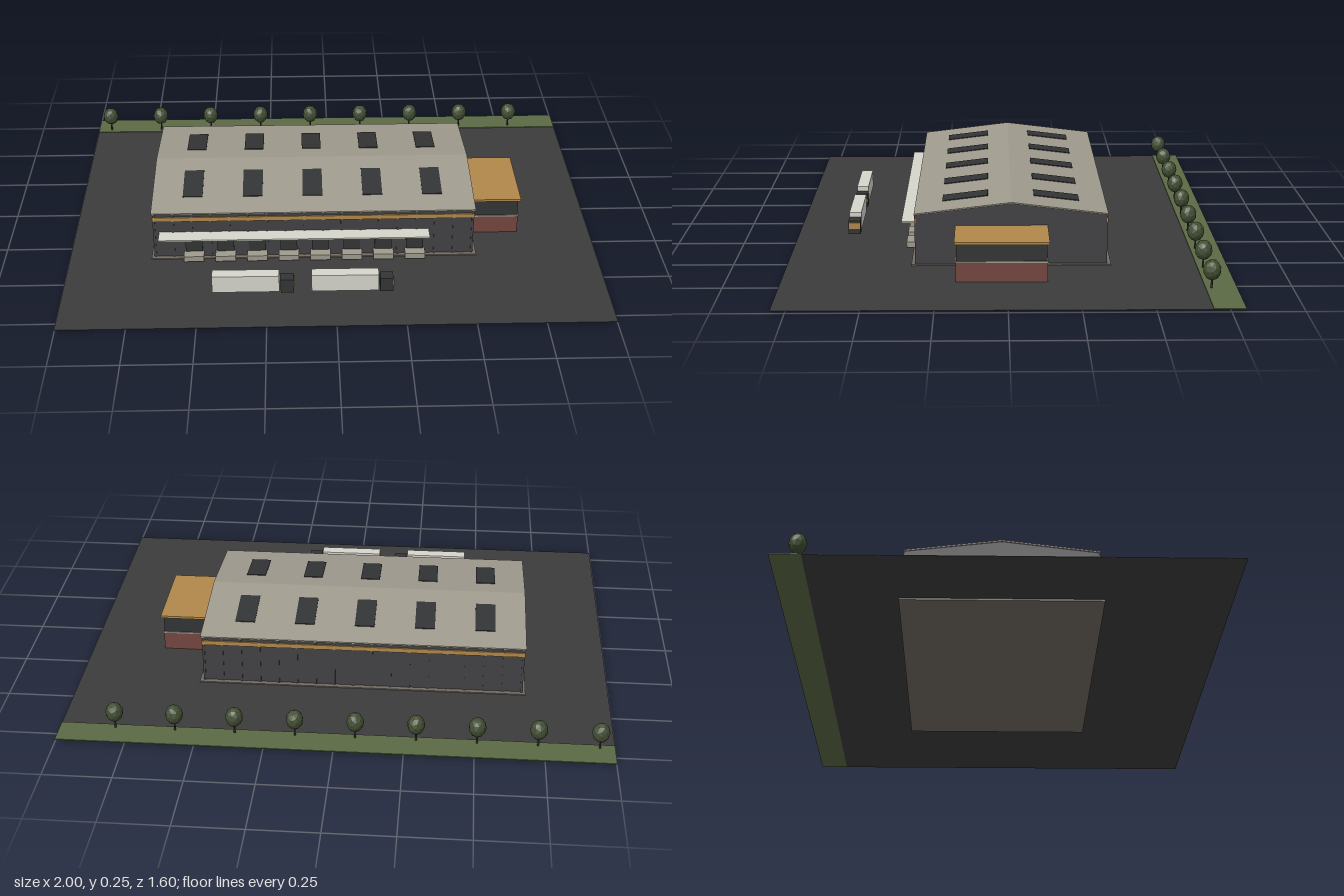
import * as THREE from 'three';

const mat = (name, color) => {
  const m = new THREE.MeshStandardMaterial({ color });
  m.name = name;
  return m;
};

export function createModel() {
  const M = {
    asphalt: mat('asphalt', 0x3c3c3c),
    grass: mat('grass', 0x5c6a44),
    slab: mat('concrete', 0x736c64),
    wall: mat('wall cladding', 0x424244),
    roof: mat('roof sheet', 0xa09b8e),
    accent: mat('ochre accent', 0xb0884a),
    brick: mat('brick', 0x74463f),
    white: mat('off white', 0xd6d6cc),
    dark: mat('dark glass', 0x333435),
    leaf: mat('foliage', 0x424e33),
  };
  const model = new THREE.Group();
  model.name = 'warehouse';

  const add = (parent, name, geometry, material) => {
    const mesh = new THREE.Mesh(geometry, material);
    mesh.name = name;
    parent.add(mesh);
    return mesh;
  };
  // Box given by its limits on each axis
  const box = (parent, name, material, [x0, x1], [y0, y1], [z0, z1]) => {
    const mesh = add(parent, name, new THREE.BoxGeometry(x1 - x0, y1 - y0, z1 - z0), material);
    mesh.position.set((x0 + x1) / 2, (y0 + y1) / 2, (z0 + z1) / 2);
    return mesh;
  };
  const group = (name) => {
    const g = new THREE.Group();
    g.name = name;
    model.add(g);
    return g;
  };
  // Cross-section of [z, y] points drawn out along x
  const alongX = (parent, name, material, points, x0, x1) => {
    const shape = new THREE.Shape(points.map(([z, y]) => new THREE.Vector2(-z, y)));
    const geo = new THREE.ExtrudeGeometry(shape, { depth: x1 - x0, bevelEnabled: false });
    geo.rotateY(Math.PI / 2).translate(x0, 0, 0);
    return add(parent, name, geo, material);
  };

  // Site
  const site = group('site');
  box(site, 'asphaltYard', M.asphalt, [-1, 1], [0.007, 0.009], [-0.69, 0.8]);
  box(site, 'grassStrip', M.grass, [-1, 1], [0.008, 0.012], [-0.8, -0.69]);
  box(site, 'floorSlab', M.slab, [-0.69, 0.543], [0, 0.013], [-0.38, 0.347]);

  // Main hall: walls with gable ends and a shallow pitched roof
  const hall = group('hall');
  const zMid = -0.016, ridge = 0.246, eave = 0.203;
  const front = 0.33, back = -0.362;
  box(hall, 'walls', M.wall, [-0.68, 0.53], [0.013, 0.196], [back, front]);
  const gable = [[front, 0.19], [front, eave - 0.004], [zMid, ridge - 0.004], [back, eave - 0.004], [back, 0.19]];
  for (const x of [-0.68, 0.524]) alongX(hall, 'gable', M.wall, gable, x, x + 0.006);
  const roofEdge = [
    [front + 0.006, eave - 0.005], [front + 0.006, eave], [zMid, ridge],
    [back - 0.006, eave], [back - 0.006, eave - 0.005], [zMid, ridge - 0.005],
  ];
  alongX(hall, 'roof', M.roof, roofEdge, -0.685, 0.535);

  // Ochre bands and wall ribs on both long sides
  for (const [z, s] of [[front, 1], [back, -1]]) {
    const out = (d) => [Math.min(z, z + s * d), Math.max(z, z + s * d)];
    box(hall, 'eaveBand', M.accent, [-0.681, 0.531], [0.168, 0.185], out(0.006));
    for (let i = 0; i < 18; i++) {
      const x = -0.675 + i * 0.0706;
      box(hall, 'wallRib', M.wall, [x - 0.004, x + 0.004], [0.013, 0.199], out(0.004));
    }
  }

  // Skylights lying on both slopes
  const pitch = Math.atan2(ridge - eave, front + 0.006 - zMid);
  for (const s of [1, -1]) {
    for (let i = 0; i < 5; i++) {
      const light = add(hall, 'skylight', new THREE.BoxGeometry(0.075, 0.004, 0.168), M.dark);
      const d = 0.168;
      light.position.set(-0.532 + i * 0.2275, ridge - d * Math.tan(pitch) + 0.001, zMid + s * d);
      light.rotation.x = s * pitch;
    }
  }

  // Loading docks under a long canopy
  const docks = group('loadingDocks');
  box(docks, 'canopy', M.white, [-0.657, 0.36], [0.114, 0.12], [front, 0.392]);
  for (let i = 0; i < 8; i++) {
    const x = -0.528 + i * 0.1194;
    box(docks, 'dockDoor', M.dark, [x - 0.032, x + 0.032], [0.035, 0.1], [front, front + 0.005]);
    box(docks, 'dockPlatform', M.roof, [x - 0.038, x + 0.038], [0.014, 0.036], [front, 0.374]);
  }

  // Office wing
  const office = group('office');
  box(office, 'brickBase', M.brick, [0.53, 0.72], [0.009, 0.08], [-0.143, 0.182]);
  box(office, 'sill', M.roof, [0.53, 0.722], [0.08, 0.085], [-0.145, 0.184]);
  box(office, 'windowBand', M.dark, [0.53, 0.718], [0.085, 0.149], [-0.141, 0.18]);
  box(office, 'officeRoof', M.accent, [0.53, 0.728], [0.149, 0.158], [-0.149, 0.187]);

  // Two parked lorries facing +x
  for (const x of [-0.45, -0.087]) {
    const truck = group('truck');
    const z = [0.558, 0.604];
    box(truck, 'trailer', M.white, [x, x + 0.245], [0.027, 0.094], z);
    box(truck, 'cab', M.dark, [x + 0.25, x + 0.298], [0.023, 0.077], z);
    box(truck, 'cabPanel', M.accent, [x + 0.298, x + 0.301], [0.045, 0.07], [0.56, 0.602]);
  }

  // Row of trees along the back
  const trees = group('trees');
  for (let i = 0; i < 9; i++) {
    const x = -0.945 + i * 0.2178;
    const trunk = add(trees, 'trunk', new THREE.CylinderGeometry(0.003, 0.004, 0.045, 6), M.dark);
    trunk.position.set(x, 0.033, -0.71);
    const crownMat = M.leaf;
    crownMat.flatShading = true;
    const crown = add(trees, 'crown', new THREE.IcosahedronGeometry(0.032, 1), crownMat);
    crown.scale.y = 1.18;
    crown.rotation.y = i * 0.7;
    crown.position.set(x, 0.079, -0.71);
  }
  return model;
}
